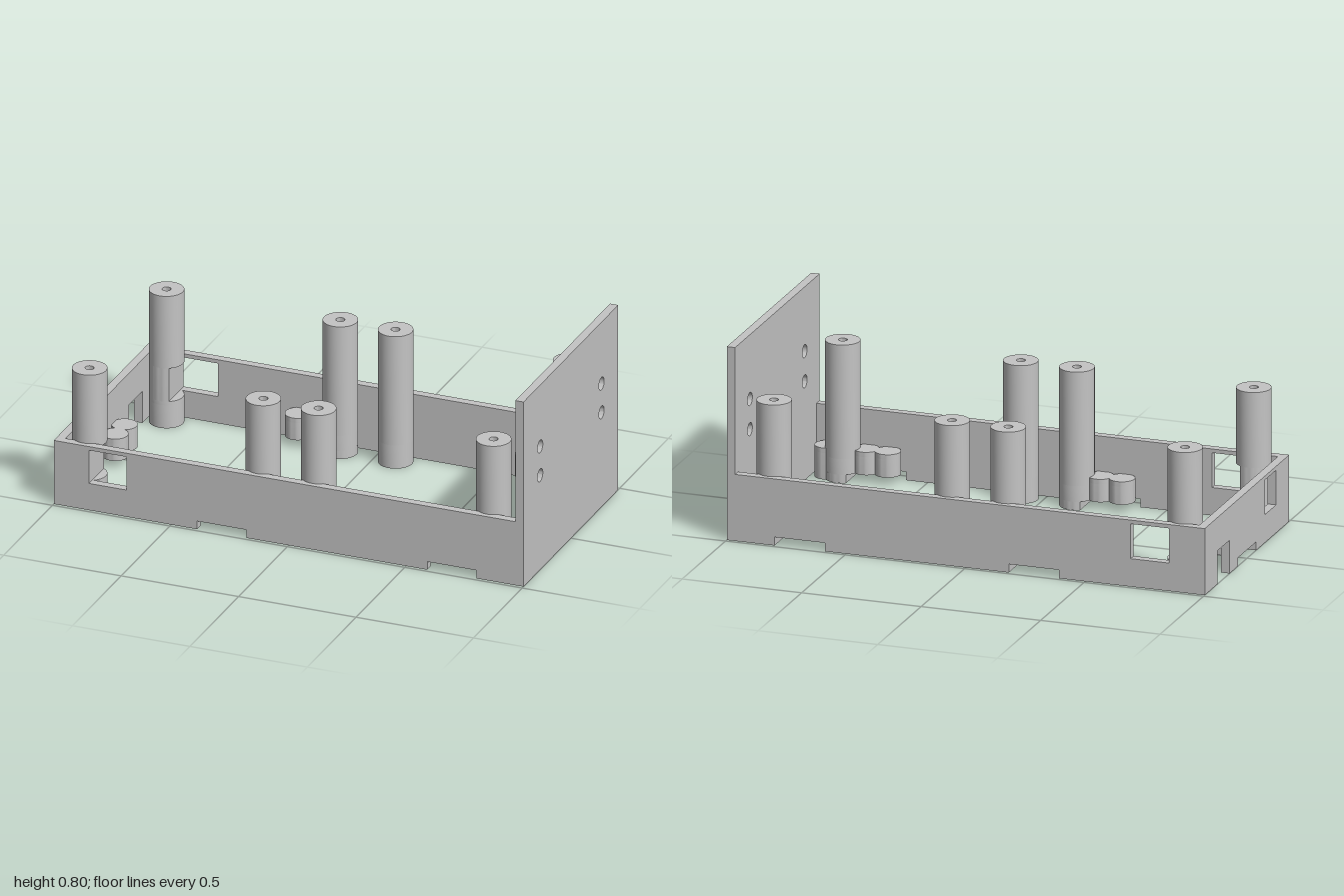
import * as THREE from 'three';
import { toCreasedNormals } from 'three/addons/utils/BufferGeometryUtils.js';

const grey = new THREE.MeshStandardMaterial({ color: 0xc4c4c4 });
grey.name = 'plain grey';

const T = 0.035;  // wall thickness
const HALF = 0.486; // half depth
const H = 0.276;  // wall height

function extrude(shape, depth, segments = 16) {
  const geo = new THREE.ExtrudeGeometry(shape, { depth, bevelEnabled: false, curveSegments: segments });
  return toCreasedNormals(geo, Math.PI / 6);
}

// Upright panel from u0 to u1; notches [from, to, height] cut its lower edge, windows are [u0, y0, u1, y1]
function panel(name, u0, u1, height, notches = [], windows = [], rounds = []) {
  const shape = new THREE.Shape().moveTo(u0, 0);
  for (const [a, b, h] of notches) shape.lineTo(a, 0).lineTo(a, h).lineTo(b, h).lineTo(b, 0);
  shape.lineTo(u1, 0).lineTo(u1, height).lineTo(u0, height).closePath();
  for (const [a, b, c, d] of windows) {
    shape.holes.push(new THREE.Path().moveTo(a, b).lineTo(a, d).lineTo(c, d).lineTo(c, b).closePath());
  }
  for (const [u, y, r] of rounds) shape.holes.push(new THREE.Path().absarc(u, y, r, 0, Math.PI * 2, true));
  const mesh = new THREE.Mesh(extrude(shape, T), grey);
  mesh.name = name;
  return mesh;
}

// Upright round column made of slices {y0, y1, bore, cut}; cut is the side (+1 or -1) sliced off flat
function column(name, x, z, r, slices) {
  const group = new THREE.Group();
  group.name = name;
  for (const { y0, y1, bore = 0, cut = 0 } of slices) {
    const shape = new THREE.Shape();
    if (cut) {
      const a = Math.acos(T / r), turn = cut > 0 ? 0 : Math.PI;
      shape.absarc(0, 0, r, a + turn, Math.PI * 2 - a + turn, false);
      shape.closePath();
    } else shape.absarc(0, 0, r, 0, Math.PI * 2, false);
    if (bore) shape.holes.push(new THREE.Path().absarc(0, 0, bore, 0, Math.PI * 2, true));
    const mesh = new THREE.Mesh(extrude(shape, y1 - y0, 20), grey);
    mesh.name = name + 'Slice';
    mesh.rotation.x = -Math.PI / 2;
    mesh.position.y = y0;
    group.add(mesh);
  }
  group.position.set(x, 0, z);
  return group;
}

export function createModel() {
  const model = new THREE.Group();
  model.name = 'mountingFrame';

  // Long walls with cable windows and shallow lower notches
  const notches = [[-0.39, -0.18, T], [0.59, 0.8, T]];
  for (const [name, z] of [['frontWall', HALF - T], ['backWall', -HALF]]) {
    const wall = panel(name, -1, 1 - T, H, notches, [[-0.85, 0.116, -0.69, 0.26]]);
    wall.position.z = z;
    model.add(wall);
  }

  // Short end wall with an open slot, a notch and a window
  const end = panel('endWall', T - HALF, HALF - T, H,
    [[-0.34, -0.2, 0.138], [-0.105, 0.105, T]], [[0.21, 0.116, 0.335, 0.26]]);
  end.rotation.y = -Math.PI / 2;
  end.position.x = T - 1;
  model.add(end);

  // Tall end plate with four screw holes
  const holes = [];
  for (const u of [-0.315, 0.315]) for (const y of [0.41, 0.535]) holes.push([u, y, 0.027]);
  const plate = panel('endPlate', -HALF, HALF, 0.802, [], [], holes);
  plate.rotation.y = -Math.PI / 2;
  plate.position.x = 1;
  model.add(plate);

  // Tall standoffs, counterbored below; some are cut by the windows and notches
  const top = 0.573, wide = 0.033, fine = 0.018;
  const plain = [{ y0: 0, y1: 0.1, bore: wide }, { y0: 0.1, y1: top, bore: fine }];
  const notched = [{ y0: 0, y1: T, bore: wide, cut: -1 }, { y0: T, y1: 0.1, bore: wide },
    { y0: 0.1, y1: top, bore: fine }];
  const windowed = [{ y0: 0, y1: 0.1, bore: wide }, { y0: 0.1, y1: 0.116, bore: fine },
    { y0: 0.116, y1: 0.26, bore: fine, cut: 1 }, { y0: 0.26, y1: top, bore: fine }];
  const posts = [[-0.885, windowed], [-0.145, notched], [0.09, plain], [0.835, notched]];

  // Short pegs with blind screw holes from below
  const peg = (x, z, y0) => column('shortPeg', x, z, 0.052,
    [{ y0, y1: 0.11, bore: 0.016 }, { y0: 0.11, y1: 0.13 }]);

  for (const side of [1, -1]) {
    for (const [x, slices] of posts) model.add(column('standoff', x, side * 0.395, 0.07, slices));
    for (const x of [-0.33, -0.24, 0.65, 0.74]) model.add(peg(x, side * 0.405, T));
    model.add(peg(0.9, side * 0.4, 0));
    model.add(peg(-0.92, side * 0.047, T));
  }
  return model;
}
